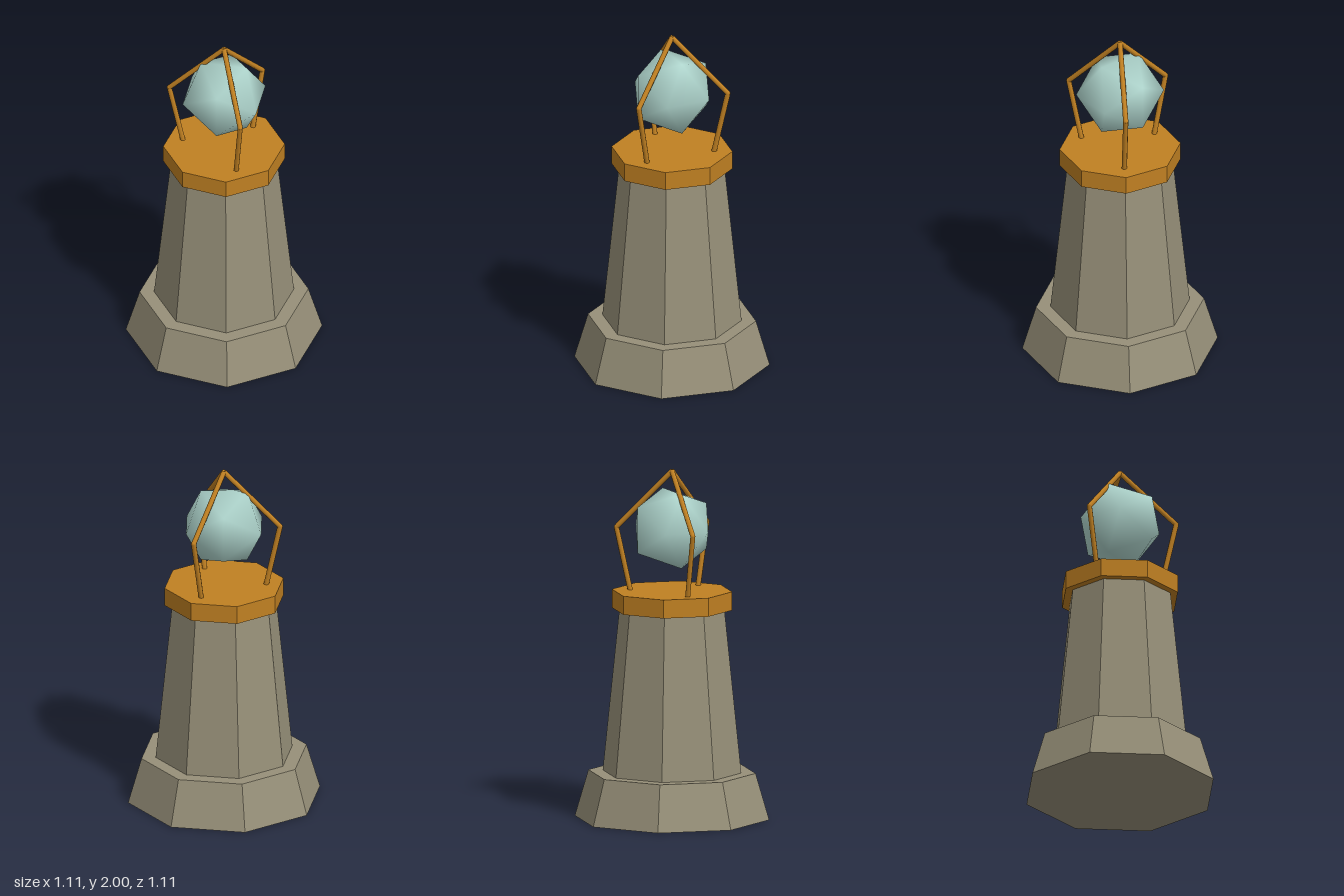
import * as THREE from 'three';

const mat = (name, color, flatShading = false) => {
  const m = new THREE.MeshStandardMaterial({ color, flatShading });
  m.name = name;
  return m;
};

export function createModel() {
  const group = new THREE.Group();
  const stone = mat('stone', 0x979079, true);
  const bronze = mat('bronze', 0xc08022, true);
  const bronzeRod = mat('bronze', 0xc08022);
  bronzeRod.copy(bronze);
  bronzeRod.flatShading = false;
  const crystal = mat('crystal', 0xaed4cc);

  const add = (name, geometry, material, parent = group) => {
    const mesh = new THREE.Mesh(geometry, material);
    mesh.name = name;
    parent.add(mesh);
    return mesh;
  };

  // Octagonal tiers, corners on the axes
  const tier = (name, rTop, rBottom, y0, y1, material) => {
    add(name, new THREE.CylinderGeometry(rTop, rBottom, y1 - y0, 8), material).position.y = (y0 + y1) / 2;
  };
  tier('plinth', 0.478, 0.556, 0, 0.265, stone);
  tier('shaft', 0.3, 0.396, 0.265, 1.2, stone);
  tier('capPlate', 0.344, 0.344, 1.197, 1.303, bronze);

  // Twenty-sided orb with smooth, spherical normals
  const orbGeometry = new THREE.IcosahedronGeometry(0.25, 0);
  const p = orbGeometry.attributes.position;
  const n = orbGeometry.attributes.normal;
  for (let i = 0; i < p.count; i++) {
    const v = new THREE.Vector3().fromBufferAttribute(p, i).normalize();
    n.setXYZ(i, v.x, v.y, v.z);
  }
  const orb = add('orb', orbGeometry, crystal);
  orb.position.y = 1.66;
  orb.rotation.y = -1.017;

  // Straight rod between two points
  const rod = (name, a, b, parent) => {
    const dir = b.clone().sub(a);
    const mesh = add(name, new THREE.CylinderGeometry(0.015, 0.015, dir.length(), 8), bronzeRod, parent);
    mesh.position.copy(a).add(b).multiplyScalar(0.5);
    mesh.quaternion.setFromUnitVectors(new THREE.Vector3(0, 1, 0), dir.normalize());
  };

  // Three bent arms meeting above the orb
  const foot = new THREE.Vector3(0.238, 1.295, 0);
  const elbow = new THREE.Vector3(0.318, 1.66, 0);
  const apex = new THREE.Vector3(0, 1.989, 0);
  for (let i = 0; i < 3; i++) {
    const arm = new THREE.Group();
    arm.name = 'cageArm' + (i + 1);
    rod('lowerRod', foot, elbow, arm);
    rod('upperRod', elbow, apex, arm);
    add('elbowJoint', new THREE.SphereGeometry(0.015, 8, 6), bronzeRod, arm).position.copy(elbow);
    arm.rotation.y = (i * Math.PI * 2) / 3;
    group.add(arm);
  }

  return group;
}
